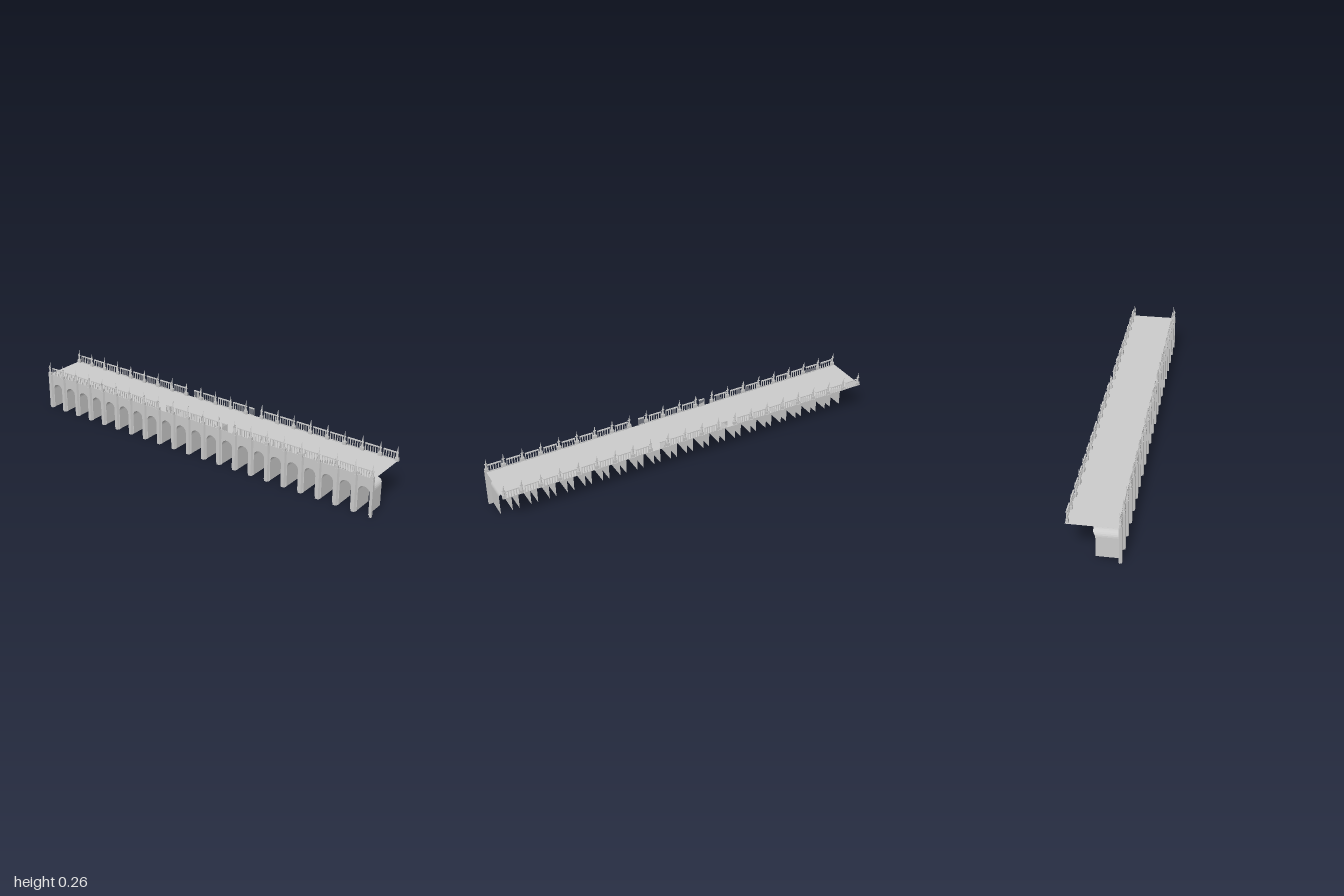
import * as THREE from 'three';
import { mergeGeometries } from 'three/addons/utils/BufferGeometryUtils.js';

const STEP = 0.0945, FIRST = -0.987, BAYS = 21;
const DECK = 0.188, SPRING = 0.11, R = 0.03, ARC = 12;
const mat = new THREE.MeshStandardMaterial({ color: 0xcccccc, flatShading: true, side: THREE.DoubleSide });
const pierX = i => FIRST + i * STEP;

function add(parent, name, geo, x = 0, y = 0, z = 0) {
  const m = new THREE.Mesh(geo, mat);
  m.name = name;
  m.position.set(x, y, z);
  parent.add(m);
  return m;
}

function box(w, h, d, x, y, z) {
  return new THREE.BoxGeometry(w, h, d).translate(x, y, z);
}

// opening outline: up the left jamb, over the arch, down the right jamb
function archPoints(base) {
  const pts = [[-R, base]];
  for (let i = 0; i <= ARC; i++) {
    const a = Math.PI * (1 - i / ARC);
    pts.push([R * Math.cos(a), SPRING + R * Math.sin(a)]);
  }
  pts.push([R, base]);
  return pts;
}

// front wall with a row of arches open at the foot
function facadeGeometry() {
  const s = new THREE.Shape();
  s.moveTo(-1, 0.003);
  for (let i = 0; i < BAYS; i++) {
    const cx = pierX(i) + STEP / 2;
    for (const [x, y] of archPoints(0.003)) s.lineTo(cx + x, y);
  }
  s.lineTo(0.995, 0.003);
  s.lineTo(0.995, DECK);
  s.lineTo(-1, DECK);
  s.closePath();
  return new THREE.ExtrudeGeometry(s, { depth: 0.003, bevelEnabled: false }).translate(0, 0, 0.108);
}

// thin lining of one arch, its crown reaching a little further back
function vaultGeometry() {
  const pts = archPoints(0.005);
  const g = new THREE.PlaneGeometry(1, 1, pts.length - 1, 1);
  const p = g.attributes.position;
  for (let i = 0; i < p.count; i++) {
    const [x, y] = pts[i % pts.length];
    const back = 0.003 - 0.011 * THREE.MathUtils.smoothstep(y, SPRING, SPRING + 0.024);
    p.setXYZ(i, x, y, i < pts.length ? 0.109 : back);
  }
  g.computeVertexNormals();
  return g;
}

// buttress with chamfered front edges; half = only the left part
function pierGeometry(half) {
  const s = new THREE.Shape();
  const w = 0.0135, c = 0.008;
  s.moveTo(-w, -0.11);
  s.lineTo(-c, -0.122);
  s.lineTo(half ? 0.0025 : c, -0.122);
  s.lineTo(half ? 0.0025 : w, -0.11);
  s.closePath();
  return new THREE.ExtrudeGeometry(s, { depth: 0.19, bevelEnabled: false }).rotateX(-Math.PI / 2);
}

// pointed ornament on a pedestal
function finialGeometry() {
  const body = new THREE.CylinderGeometry(0.0035, 0.007, 0.028, 6).scale(1, 1, 0.65).translate(0, 0.217, 0.116);
  const spire = new THREE.CylinderGeometry(0.0008, 0.0045, 0.032, 5).scale(1, 1, 0.6);
  spire.rotateX(-0.09).translate(0, 0.245, 0.1135);
  const arms = box(0.015, 0.004, 0.004, 0, 0.23, 0.1165);
  const front = new THREE.CylinderGeometry(0.001, 0.0025, 0.022, 5).translate(0, 0.231, 0.1195);
  return mergeGeometries([box(0.018, 0.018, 0.011, 0, 0.196, 0.1155), body, spire, arms, front]);
}

// one bay of balustrade
function railGeometry() {
  const parts = [
    box(0.07, 0.005, 0.006, 0, 0.2265, 0.1095),
    box(0.07, 0.003, 0.005, 0, 0.1895, 0.1095),
  ];
  for (let i = 0; i < 6; i++) {
    const x = -0.0325 + i * 0.013;
    parts.push(new THREE.CylinderGeometry(0.0022, 0.0028, 0.034, 5).translate(x, 0.2075, 0.1095));
  }
  return mergeGeometries(parts);
}

export function createModel() {
  const model = new THREE.Group();
  model.name = 'archedBridge';

  // thin roadway
  add(model, 'deck', new THREE.PlaneGeometry(1.994, 0.231).rotateX(-Math.PI / 2), -0.003, DECK, -0.0055);
  add(model, 'facade', facadeGeometry());

  const vault = vaultGeometry(), pier = pierGeometry(false), halfPier = pierGeometry(true);
  for (let i = 0; i < BAYS; i++) add(model, 'archVault', vault, pierX(i) + STEP / 2);
  for (let i = 0; i <= BAYS; i++) add(model, 'pier', i < BAYS ? pier : halfPier, pierX(i));

  // the same parapet runs along both edges
  const finial = finialGeometry(), rail = railGeometry();
  for (const [name, z] of [['frontParapet', 0], ['backParapet', -0.228]]) {
    const parapet = new THREE.Group();
    parapet.name = name;
    parapet.position.z = z;
    for (let i = 0; i <= BAYS; i++) {
      add(parapet, 'finial', finial, Math.min(pierX(i), 0.99));
      if (i < BAYS && i !== 8 && i !== 12) add(parapet, 'balustrade', rail, pierX(i) + STEP / 2);
    }
    // shortened rails beside the two open bays
    for (const i of [8, 12]) {
      const m = add(parapet, 'shortBalustrade', rail, pierX(i) + (i === 8 ? 0.67 : 0.33) * STEP);
      m.scale.x = 0.45;
    }
    model.add(parapet);
  }
  return model;
}
